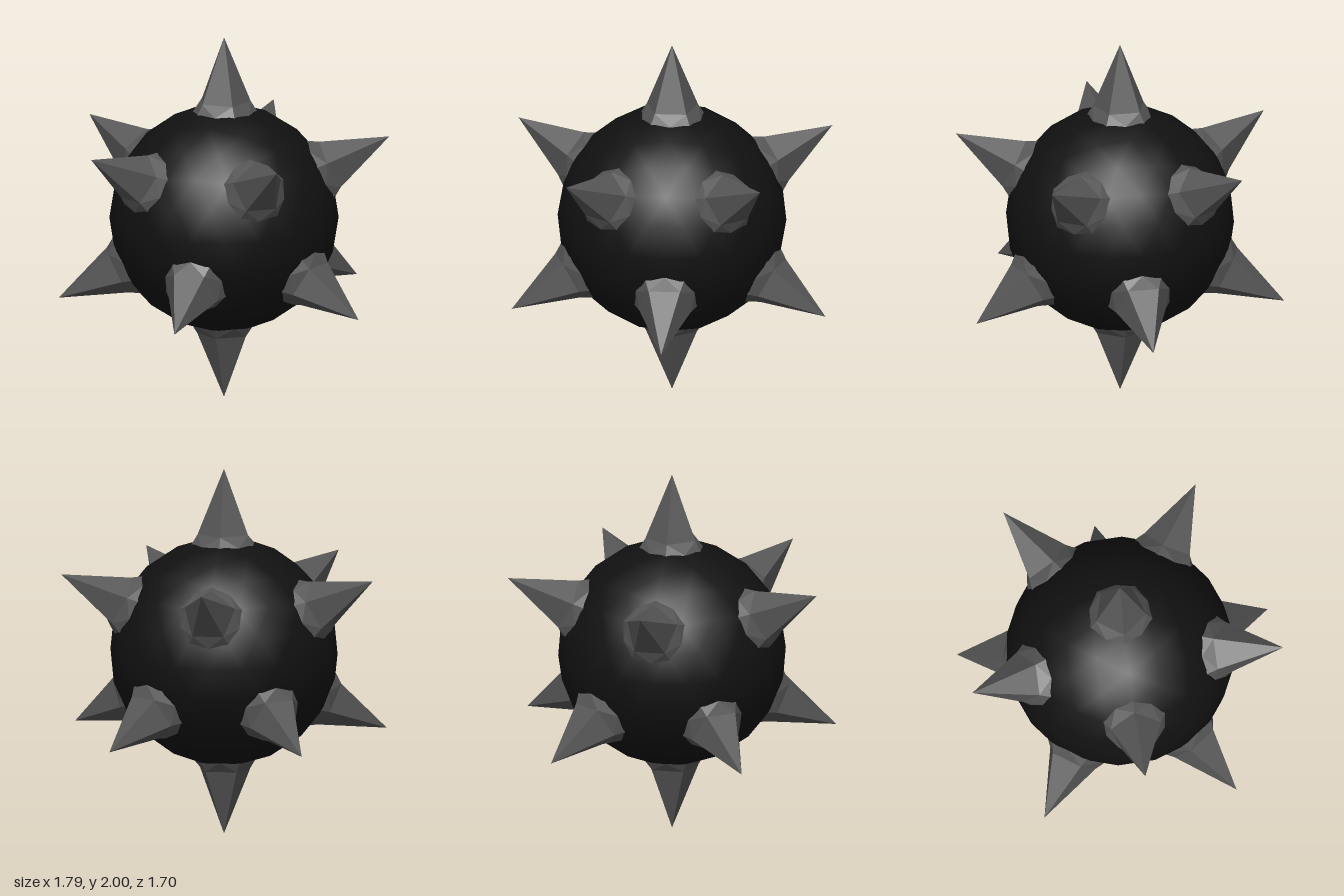
import * as THREE from 'three';

// Five-sided spike along +y, flaring into a ten-sided foot
function spikeGeometry() {
  const ring = (n, radius, y) => Array.from({ length: n }, (_, i) => {
    const a = (i / n) * Math.PI * 2, r = radius(i);
    return [r * Math.cos(a), y, r * Math.sin(a)];
  });
  const tip = [0, 1, 0];
  const neck = ring(5, () => 0.145, 0.645);
  const foot = ring(10, (i) => (i % 2 ? 0.168 : 0.18), 0.588);
  const points = [];
  for (let k = 0; k < 5; k++) {
    const a = neck[k], b = neck[(k + 1) % 5];
    const f0 = foot[2 * k], f1 = foot[2 * k + 1], f2 = foot[(2 * k + 2) % 10];
    points.push(tip, b, a, a, b, f1, a, f1, f0, f1, b, f2);
  }
  const g = new THREE.BufferGeometry();
  g.setAttribute('position', new THREE.Float32BufferAttribute(points.flat(), 3));
  g.computeVertexNormals();
  return g;
}

export function createModel() {
  const model = new THREE.Group();
  const bodyMat = new THREE.MeshStandardMaterial({ color: 0x111111 });
  const spikeMat = new THREE.MeshStandardMaterial({ color: 0x555555, flatShading: true });

  // Round body, turned so that a vertex sits under every spike
  const bodyGeo = new THREE.IcosahedronGeometry(0.62, 3);
  bodyGeo.rotateZ(-Math.atan(2 / (1 + Math.sqrt(5))));
  const body = new THREE.Mesh(bodyGeo, bodyMat);
  body.name = 'body';
  body.position.y = 1;
  model.add(body);

  // Twelve spikes: two poles and two staggered rings of five
  const spikes = new THREE.Group();
  spikes.name = 'spikes';
  spikes.position.y = 1;
  model.add(spikes);
  const geo = spikeGeometry();
  const addSpike = (name, dir, neighbour) => {
    const y = dir.clone().normalize();
    const x = neighbour.clone().addScaledVector(y, -neighbour.dot(y)).normalize();
    const z = new THREE.Vector3().crossVectors(x, y);
    const spike = new THREE.Mesh(geo, spikeMat);
    spike.name = name;
    spike.quaternion.setFromRotationMatrix(new THREE.Matrix4().makeBasis(x, y, z));
    spikes.add(spike);
  };
  for (const s of [1, -1]) {
    const level = s > 0 ? 'upper' : 'lower';
    const pole = new THREE.Vector3(0, s, 0);
    addSpike(level + 'PoleSpike', pole, new THREE.Vector3(s, 0, 0));
    for (let i = 0; i < 5; i++) {
      const a = (i / 5) * Math.PI * 2;
      const dir = new THREE.Vector3(2 * Math.cos(a), 1, 2 * Math.sin(a)).multiplyScalar(s);
      addSpike(level + 'Spike' + (i + 1), dir, pole);
    }
  }
  return model;
}
